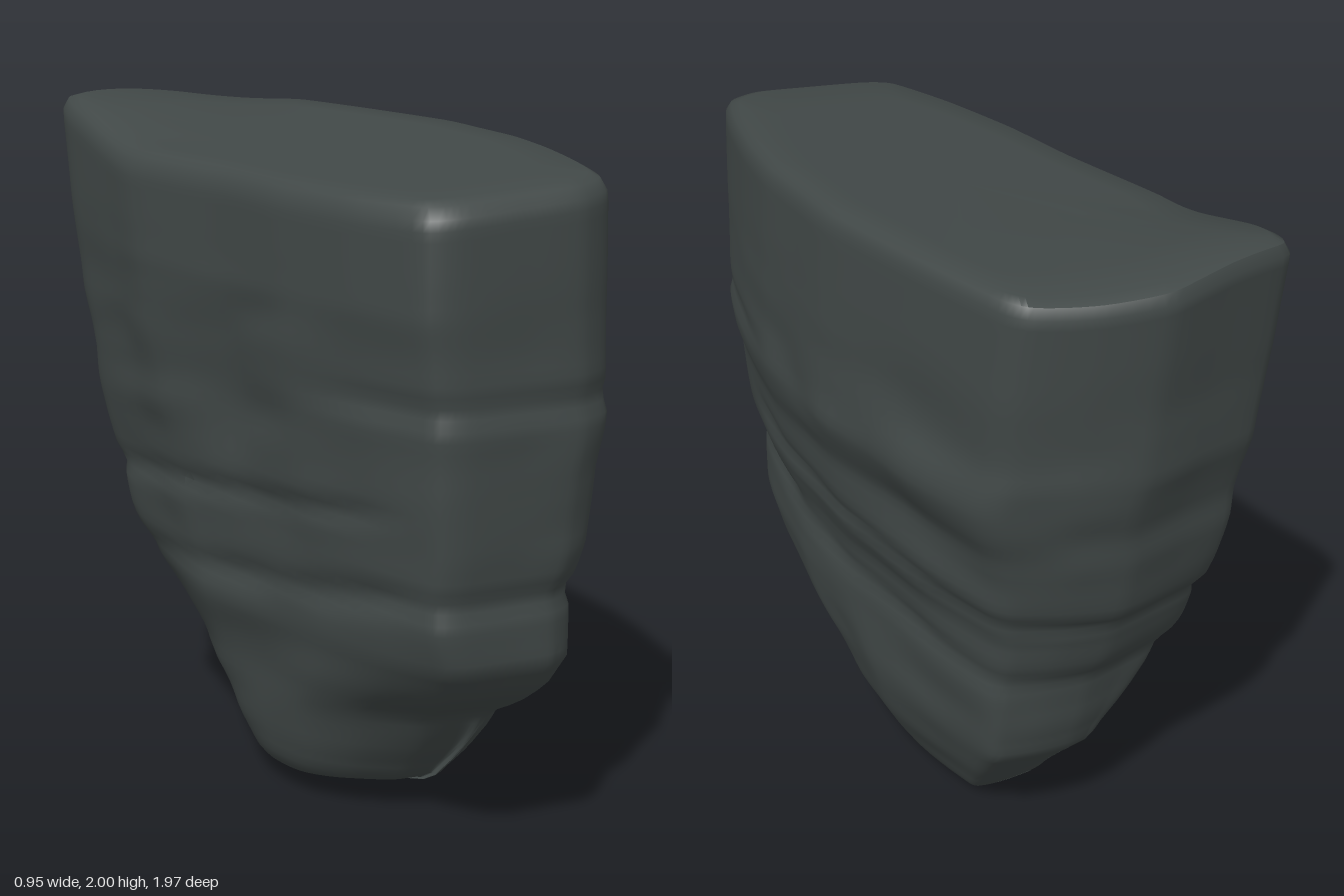
import * as THREE from 'three';
import { toCreasedNormals } from 'three/addons/utils/BufferGeometryUtils.js';

const { lerp, smoothstep, clamp } = THREE.MathUtils;

// Plan outline at the top of the rock: x, z
const OUTLINE = [
  [-0.30, -0.985], [-0.1, -0.99], [0.10, -0.985], [0.26, -0.9], [0.40, -0.79], [0.44, -0.7], [0.45, -0.4],
  [0.445, 0], [0.41, 0.2], [0.37, 0.4], [0.30, 0.6], [0.21, 0.8], [0.12, 0.95], [0, 0.985],
  [-0.16, 0.95], [-0.35, 0.9], [-0.43, 0.84], [-0.47, 0.6], [-0.48, 0.3], [-0.46, 0],
  [-0.46, -0.4], [-0.42, -0.6], [-0.36, -0.88],
];

// Extents by height: y, xMin, xMax, zMin, zMax
const LEVELS = [
  [1.95, -0.465, 0.44, -0.99, 0.975], [1.88, -0.475, 0.445, -0.98, 0.985], [1.6, -0.475, 0.455, -0.94, 0.985],
  [1.4, -0.455, 0.455, -0.92, 0.985], [1.3, -0.445, 0.455, -0.89, 0.99], [1.22, -0.435, 0.435, -0.875, 0.985],
  [1.14, -0.43, 0.4, -0.87, 0.98], [1.0, -0.42, 0.385, -0.84, 0.97], [0.92, -0.41, 0.37, -0.81, 0.965],
  [0.8, -0.4, 0.32, -0.75, 0.94], [0.6, -0.385, 0.31, -0.66, 0.935], [0.5, -0.365, 0.3, -0.64, 0.86],
  [0.4, -0.345, 0.295, -0.61, 0.73], [0.34, -0.335, 0.285, -0.6, 0.64], [0.2, -0.305, 0.23, -0.47, 0.53],
  [0.1, -0.27, 0.18, -0.38, 0.44], [0.04, -0.2, 0.15, -0.31, 0.24], [0, -0.08, 0.11, -0.26, 0.12],
];

function extents(y) {
  let i = 0;
  while (i < LEVELS.length - 2 && LEVELS[i + 1][0] > y) i++;
  const a = LEVELS[i], b = LEVELS[i + 1], t = (a[0] - y) / (a[0] - b[0]);
  return a.map((v, k) => lerp(v, b[k], t));
}

// Seeded smooth noise, 0 to 1
function hash(x, y, z) {
  const s = Math.sin(x * 127.1 + y * 311.7 + z * 74.7) * 43758.5453;
  return s - Math.floor(s);
}
function noise(x, y, z) {
  const c = [x, y, z].map(Math.floor);
  const [u, v, w] = [x, y, z].map((n, i) => smoothstep(n - c[i], 0, 1));
  const h = (i, j, k) => hash(c[0] + i, c[1] + j, c[2] + k);
  const row = (j, k) => lerp(h(0, j, k), h(1, j, k), u);
  return lerp(lerp(row(0, 0), row(1, 0), v), lerp(row(0, 1), row(1, 1), v), w);
}

const groove = (d, width) => Math.exp(-(d * d) / (width * width));

// How far the wall is worn inward by strata and cracks, or swells outward
function wear(x, y, z) {
  const tilted = y - 0.1 * z;
  const fade = smoothstep(y, 0.02, 0.25) * (1 - smoothstep(y, 1.4, 1.75));
  const strata = noise(x * 2 + 5, tilted * 5, z * 3 + 9) * 0.03 + noise(x * 5, tilted * 10, z * 5) * 0.014 - 0.018;
  const side = 1 - smoothstep(z, 0.5, 0.8);
  const front = smoothstep(z, 0.3, 0.7);
  const cracks = side * (0.018 * groove(tilted - 0.95, 0.03) + 0.015 * groove(tilted - 0.7, 0.035))
    + front * (0.018 * groove(y - 1.33, 0.035) + 0.018 * groove(y - 0.79, 0.03) + 0.03 * groove(y - 0.38, 0.04));
  const bulge = smoothstep(x, 0.1, 0.3) * 0.018 * groove(z + 0.35, 0.2) * groove(y - 1.3, 0.1);
  return fade * (strata * lerp(1, 0.5, front) + cracks - bulge);
}

// Top tilts down to one side, with a raised corner at the back
const topHeight = (x, z) =>
  1.912 + 0.08 * x - 0.01 * z + 0.1 * smoothstep(-z, 0.4, 1) * (1 - smoothstep(x, -0.25, 0.45));

function rockGeometry() {
  const points = OUTLINE.map(([x, z]) => new THREE.Vector3(x, 0, z));
  const curve = new THREE.CatmullRomCurve3(points, true, 'catmullrom', 0.3);
  const N = OUTLINE.length * 5, plan = curve.getPoints(N).slice(0, N);
  const positions = [], index = [];
  let rings = 0;

  // One cross-section; lower down one back corner grows squarer and the far side is cut away at both ends
  const addRing = (y, inset, lift) => {
    const [, x0, x1, z0, z1] = extents(y);
    const square = 0.35 * (1 - smoothstep(y, 0.5, 1.1));
    const cut = 0.45 * (1 - smoothstep(y, 0.1, 0.75));
    for (const p of plan) {
      const corner = square * smoothstep(-p.z, 0.55, 0.8) * smoothstep(p.x, 0, 0.2);
      const px = p.x + cut * p.z * p.z * smoothstep(-p.x, -0.1, 0.4);
      let x = lerp(x0, x1, (px + 0.48) / 0.93) * inset;
      let z = lerp(z0, z1, (lerp(p.z, -0.99, corner) + 0.99) / 1.975) * inset;
      const w = wear(x, y, z), cx = (x0 + x1) / 2, cz = clamp(z, z0 + 0.4, z1 - 0.4);
      const len = Math.hypot(x - cx, z - cz) || 1;
      x -= (x - cx) / len * w;
      z -= (z - cz) / len * w;
      const slope = (topHeight(x, z) - 1.95) * smoothstep(y, 1.4, 1.92);
      positions.push(x, y + slope + lift, z);
    }
    rings++;
  };

  // Rings across the top, a rounded rim, then the wall down to the base
  for (const inset of [0.4, 0.75, 0.94]) addRing(1.95, inset, 0.003);
  addRing(1.95, 0.98, -0.01);
  const STEPS = 64;
  for (let j = 0; j <= STEPS; j++) addRing(lerp(1.91, 0, j / STEPS), 1, 0);

  for (let j = 0; j < rings - 1; j++) {
    for (let i = 0; i < N; i++) {
      const k = (i + 1) % N, a = j * N + i, b = j * N + k;
      index.push(a, b, b + N, a, b + N, a + N);
    }
  }

  // Close the top and the base
  const top = positions.length / 3, last = (rings - 1) * N;
  positions.push(0, topHeight(0, 0) + 0.003, 0, 0.03, 0, -0.07);
  for (let i = 0; i < N; i++) {
    const k = (i + 1) % N;
    index.push(top, k, i, top + 1, last + i, last + k);
  }

  const geometry = new THREE.BufferGeometry();
  geometry.setAttribute('position', new THREE.Float32BufferAttribute(positions, 3));
  geometry.setIndex(index);
  return toCreasedNormals(geometry, 0.75);
}

export function createModel() {
  const group = new THREE.Group();
  group.name = 'rock';
  const stone = new THREE.MeshStandardMaterial({ color: 0x414847 });
  stone.name = 'dark stone';
  const body = new THREE.Mesh(rockGeometry(), stone);
  body.name = 'rockBody';
  group.add(body);
  return group;
}
